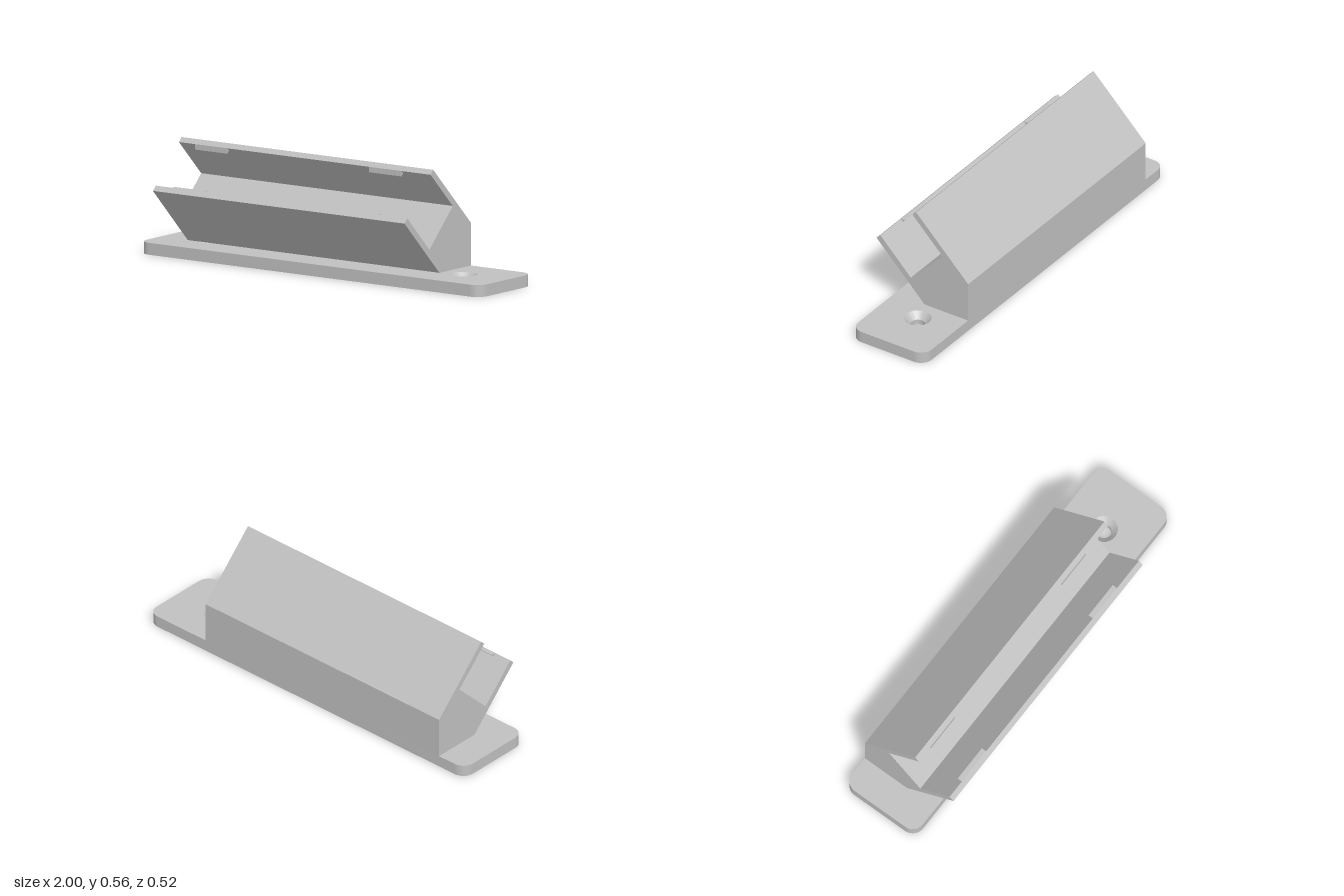
import * as THREE from 'three';
import { toCreasedNormals } from 'three/addons/utils/BufferGeometryUtils.js';

const PLATE_TOP = 0.057;
const HOLE_Z = -0.052, HOLE_XS = [-0.75, 0.75];
const SINK_R = 0.065, BORE_R = 0.034, BORE_TOP = 0.025;

// Extrudes a side profile of [z, y] points from x0 to x1
function extrudeProfile(points, x0, x1) {
  const shape = new THREE.Shape(points.map(([z, y]) => new THREE.Vector2(-z, y)));
  return new THREE.ExtrudeGeometry(shape, { depth: x1 - x0, bevelEnabled: false })
    .rotateY(Math.PI / 2)
    .translate(x0, 0, 0);
}

// Rounded plate with two countersunk screw holes
function plateGeometry() {
  const x = 1, back = 0.26, front = -0.157, r = 0.06;
  const shape = new THREE.Shape();
  shape.absarc(x - r, back - r, r, 0, Math.PI / 2);
  shape.absarc(-x + r, back - r, r, Math.PI / 2, Math.PI);
  shape.absarc(-x + r, front + r, r, Math.PI, Math.PI * 1.5);
  shape.absarc(x - r, front + r, r, Math.PI * 1.5, Math.PI * 2);
  shape.closePath();
  for (const hx of HOLE_XS) {
    shape.holes.push(new THREE.Path().absarc(hx, -HOLE_Z, SINK_R, 0, Math.PI * 2, true));
  }
  const geo = new THREE.ExtrudeGeometry(shape, {
    depth: PLATE_TOP, steps: 2, bevelEnabled: false, curveSegments: 16,
  }).rotateX(-Math.PI / 2);

  // Narrow the holes to the bore below the countersink
  const pos = geo.attributes.position;
  for (let i = 0; i < pos.count; i++) {
    const y = pos.getY(i);
    if (y > PLATE_TOP - 0.001) continue;
    if (y > 0.001) pos.setY(i, BORE_TOP);
    for (const hx of HOLE_XS) {
      const dx = pos.getX(i) - hx, dz = pos.getZ(i) - HOLE_Z;
      if (Math.hypot(dx, dz) < SINK_R + 0.001) {
        const k = BORE_R / SINK_R;
        pos.setX(i, hx + dx * k);
        pos.setZ(i, HOLE_Z + dz * k);
        break;
      }
    }
  }
  return toCreasedNormals(geo, 0.5);
}

export function createModel() {
  const group = new THREE.Group();
  const grey = new THREE.MeshStandardMaterial({ color: 0xc0c0c0 });
  grey.name = 'light grey';

  const add = (name, geometry) => {
    const mesh = new THREE.Mesh(geometry, grey);
    mesh.name = name;
    group.add(mesh);
  };

  add('basePlate', plateGeometry());

  // Tilted cradle: solid block with two parallel arms
  add('cradle', extrudeProfile([
    [-0.26, PLATE_TOP], [-0.012, PLATE_TOP], [0.261, 0.33], [0.239, 0.352],
    [0.066, 0.178], [-0.117, 0.361], [0.057, 0.534], [0.036, 0.555], [-0.26, 0.26],
  ], -0.84, 0.636));

  // Small snap hooks on the inner lips of both arms
  for (const [x0, x1] of [[-0.745, -0.556], [0.276, 0.465]]) {
    add('upperHook', extrudeProfile([[0.057, 0.534], [0.044, 0.521], [0.057, 0.508]], x0, x1));
    add('lowerHook', extrudeProfile([[0.239, 0.352], [0.214, 0.352], [0.227, 0.339]], x0, x1));
  }
  return group;
}
